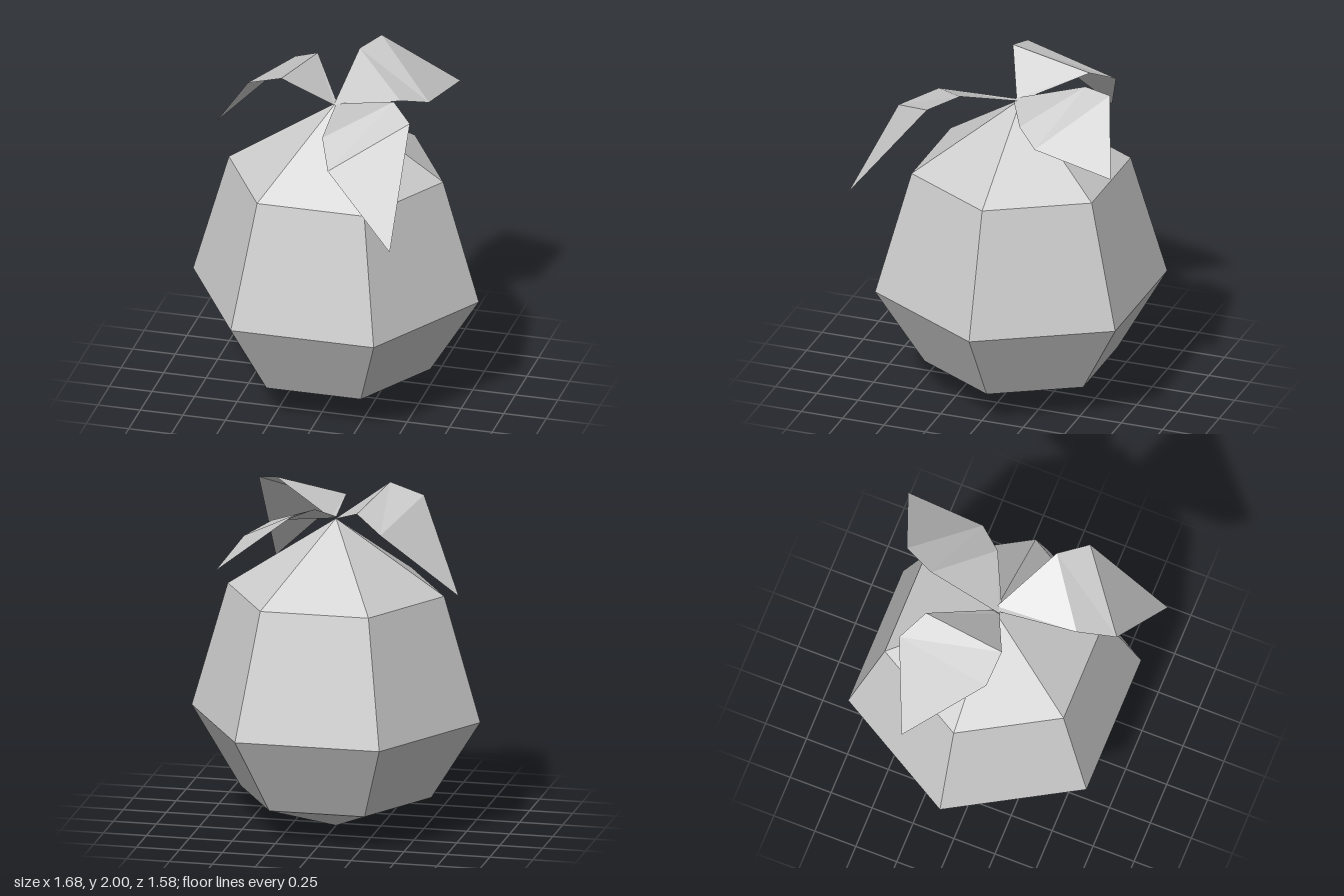
import * as THREE from 'three';

const paleGrey = new THREE.MeshStandardMaterial({ color: 0xcccccc, flatShading: true, side: THREE.DoubleSide });
paleGrey.name = 'paleGrey';

// Folded leaf: three cross-sections (right point, left point) running out to a single tip
function makeLeaf(name, sections, tip) {
  const points = [...sections.flat(), tip];
  const index = [];
  for (let i = 0; i < sections.length - 1; i++) {
    const a = 2 * i, b = a + 1, c = a + 2, d = a + 3;
    index.push(a, c, b, b, c, d);
  }
  const last = 2 * (sections.length - 1);
  index.push(last, last + 2, last + 1);
  const geometry = new THREE.BufferGeometry();
  geometry.setAttribute('position', new THREE.Float32BufferAttribute(points.flat(), 3));
  geometry.setIndex(index);
  geometry.computeVertexNormals();
  const leaf = new THREE.Mesh(geometry, paleGrey);
  leaf.name = name;
  return leaf;
}

export function createModel() {
  const model = new THREE.Group();
  model.name = 'leafyFruit';

  // Six-sided fruit body, pointed at both ends
  const profile = [[0, 0], [0.555, 0.2], [0.84, 0.66], [0.63, 1.39], [0, 1.81]]
    .map(([r, y]) => new THREE.Vector2(r, y));
  const body = new THREE.Mesh(new THREE.LatheGeometry(profile, 6, Math.PI / 2), paleGrey);
  body.name = 'fruitBody';
  body.position.z = -0.05;
  model.add(body);

  // Three drooping leaves around the top
  model.add(
    makeLeaf('rightLeaf', [
      [[0, 1.81, -0.065], [-0.005, 1.81, -0.02]],
      [[-0.2, 1.94, -0.39], [-0.28, 2.0, 0.105]],
      [[-0.36, 1.85, -0.49], [-0.48, 1.94, 0.09]],
    ], [-0.775, 1.47, -0.31]),
    makeLeaf('backLeaf', [
      [[0.035, 1.8, -0.02], [-0.005, 1.81, -0.02]],
      [[0.345, 1.81, -0.17], [0.03, 1.97, -0.45]],
      [[0.475, 1.75, -0.31], [0.11, 1.98, -0.63]],
    ], [0.53, 1.67, -0.79]),
    makeLeaf('frontLeaf', [
      [[0.005, 1.81, -0.02], [0.03, 1.81, -0.05]],
      [[0.05, 1.82, 0.43], [0.4, 1.97, 0.17]],
      [[0.14, 1.72, 0.64], [0.535, 1.92, 0.32]],
    ], [0.545, 1.33, 0.79]),
  );
  return model;
}
